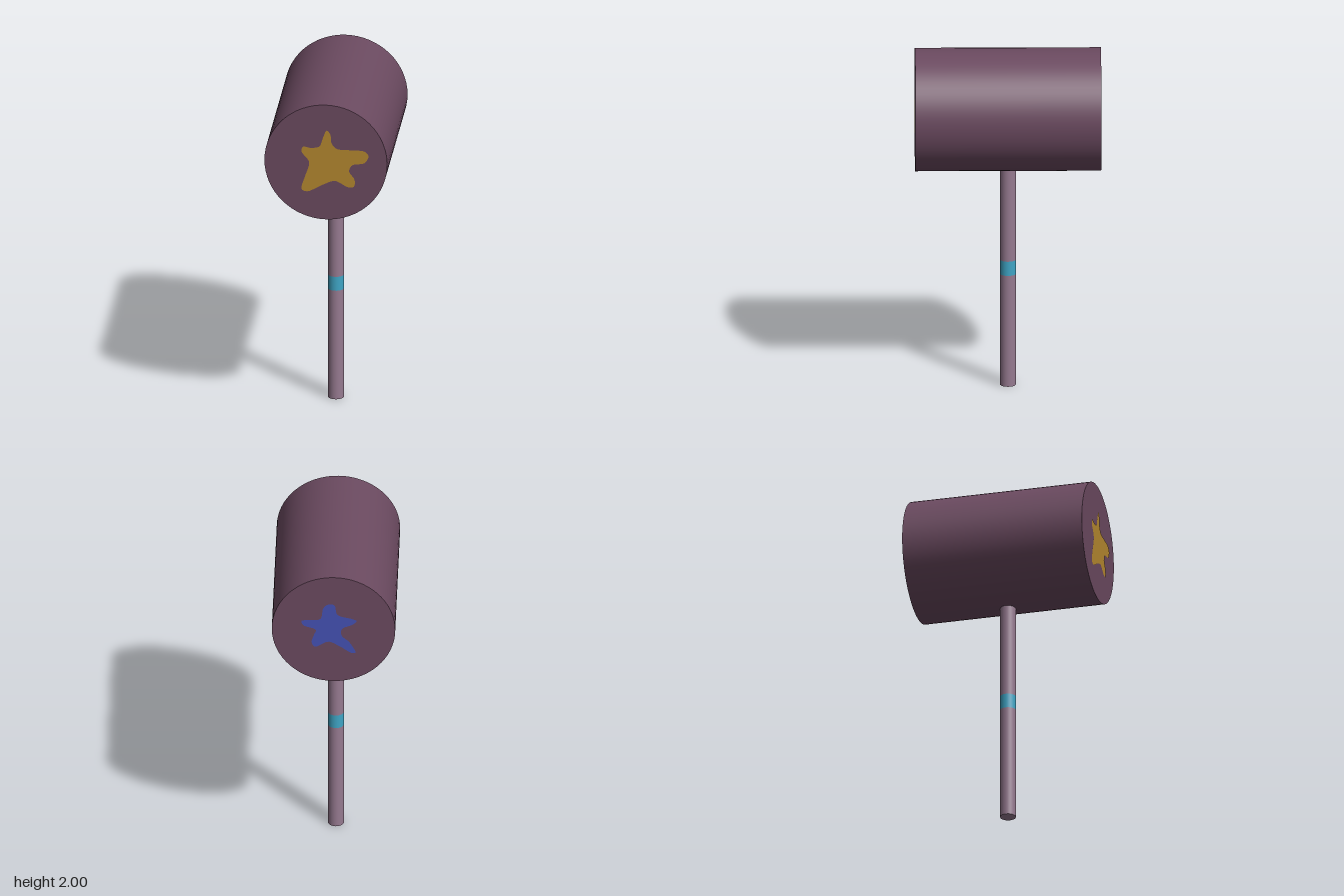
import * as THREE from 'three';

const material = (name, color) => {
  const m = new THREE.MeshStandardMaterial({ color });
  m.name = name;
  return m;
};

// Closed smooth outline through a few points, as a flat face
function starFace(points) {
  const curve = new THREE.CatmullRomCurve3(
    points.map(([x, y]) => new THREE.Vector3(x, y, 0)), true, 'centripetal');
  const outline = curve.getPoints(120).slice(0, -1).map(p => new THREE.Vector2(p.x, p.y));
  return new THREE.ShapeGeometry(new THREE.Shape(outline));
}

export function createModel() {
  const plum = material('plum', 0x6b4a60);
  const mauve = material('mauve', 0x967a90);
  const teal = material('teal', 0x3fa5c5);
  const ochre = material('ochre', 0xb5882f);
  const blue = material('blue', 0x4552b4);

  const group = new THREE.Group();
  group.name = 'mallet';
  const add = (name, geometry, mat, x, y, z) => {
    const mesh = new THREE.Mesh(geometry, mat);
    mesh.name = name;
    mesh.position.set(x, y, z);
    group.add(mesh);
    return mesh;
  };

  const headRadius = 0.35, headHalf = 0.527, headY = 1.65;

  // Barrel head lying along z
  add('head', new THREE.CylinderGeometry(headRadius, headRadius, headHalf * 2, 64).rotateX(Math.PI / 2),
    plum, 0, headY, 0);

  // Straight handle, running slightly into the head
  add('handle', new THREE.CylinderGeometry(0.045, 0.045, 1.33, 32), mauve, 0, 0.665, 0);
  add('handleBand', new THREE.CylinderGeometry(0.046, 0.046, 0.085, 32, 1, true), teal, 0, 0.708, 0);

  // Hand-painted star on the front, points relative to the head centre
  add('frontStar', starFace([
    [0.005, 0.195], [0.026, 0.17], [0.032, 0.12], [0.063, 0.085], [0.143, 0.08],
    [0.22, 0.075], [0.243, 0.05], [0.222, 0.005], [0.15, -0.012], [0.133, -0.05],
    [0.164, -0.1], [0.16, -0.142], [0.127, -0.147], [0.053, -0.112], [-0.016, -0.137],
    [-0.106, -0.182], [-0.138, -0.17], [-0.12, -0.095], [-0.095, -0.015], [-0.1, 0.01],
    [-0.138, 0.06], [-0.13, 0.09], [-0.085, 0.085], [-0.037, 0.096], [-0.016, 0.15],
  ]), ochre, 0, headY, headHalf + 0.002);

  // Star on the back, with one long point
  add('backStar', starFace([
    [-0.03, 0.168], [0.005, 0.163], [0.022, 0.1], [0.102, 0.073], [0.13, 0.06],
    [0.11, 0.035], [0.048, 0.004], [0.046, -0.04], [0.09, -0.085], [0.124, -0.155],
    [0.105, -0.158], [0.03, -0.11], [-0.03, -0.083], [-0.105, -0.118], [-0.124, -0.087],
    [-0.11, -0.035], [-0.1, -0.004], [-0.17, 0.025], [-0.182, 0.055], [-0.139, 0.061],
    [-0.075, 0.07], [-0.058, 0.142],
  ]), blue, 0, headY, -headHalf - 0.002).rotation.y = Math.PI;

  return group;
}
